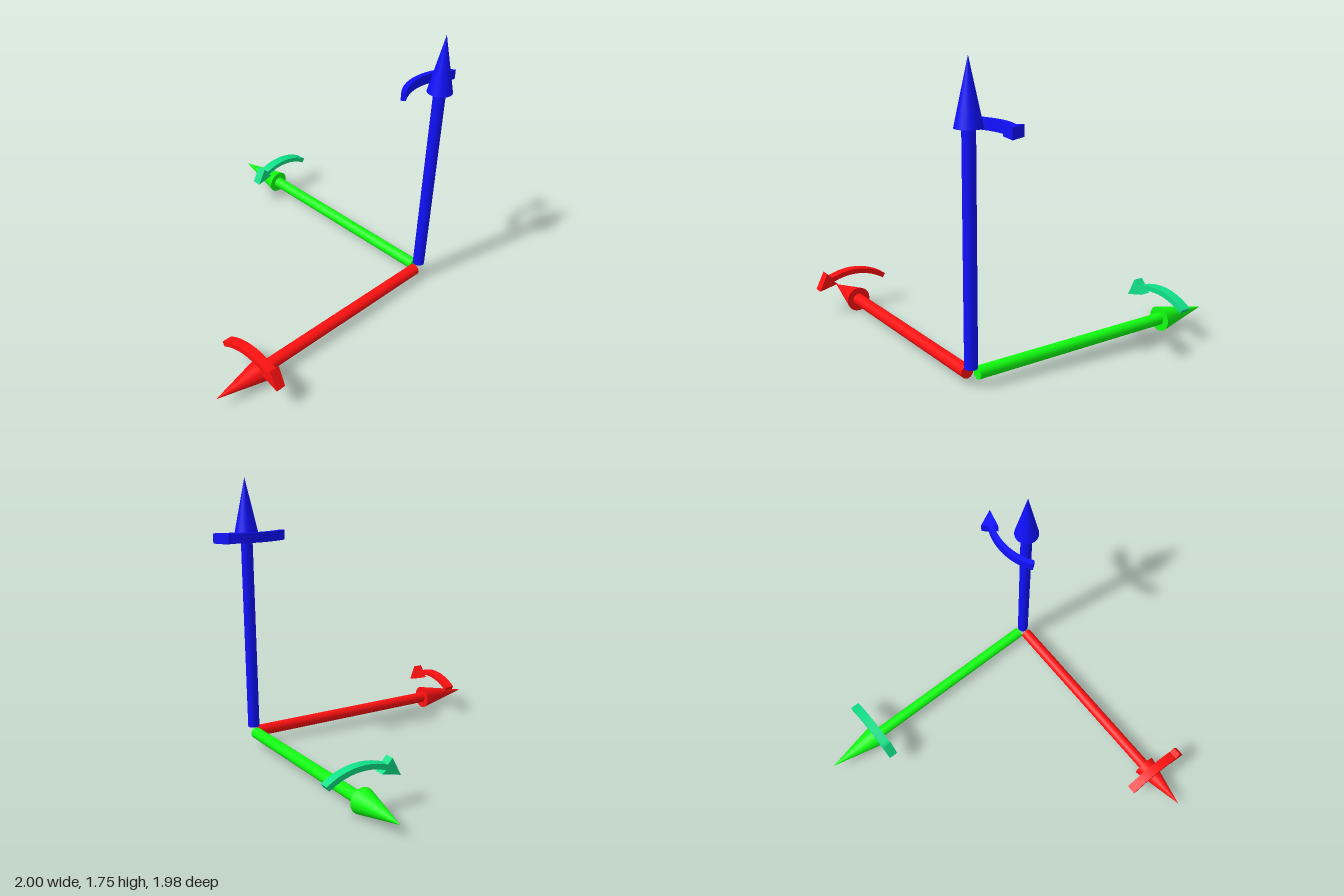
import * as THREE from 'three';
import { toCreasedNormals } from 'three/addons/utils/BufferGeometryUtils.js';

const CORNER = new THREE.Vector3(0.74, 0.077, 0.752);
const GAP = 0.038, SHAFT_R = 0.037, HEAD_R = 0.077, HEAD_LEN = 0.362;
const X = new THREE.Vector3(1, 0, 0), Y = new THREE.Vector3(0, 1, 0), Z = new THREE.Vector3(0, 0, 1);

// Straight arrow leaving the corner along dir
function axisArrow(name, dir, length, material) {
  const group = new THREE.Group();
  group.name = name;
  const shaftLen = length - GAP - HEAD_LEN;
  const shaft = new THREE.Mesh(new THREE.CylinderGeometry(SHAFT_R, SHAFT_R, shaftLen, 32), material);
  shaft.name = name + 'Shaft';
  shaft.position.y = GAP + shaftLen / 2;
  const head = new THREE.Mesh(new THREE.ConeGeometry(HEAD_R, HEAD_LEN, 32), material);
  head.name = name + 'Head';
  head.position.y = length - HEAD_LEN / 2;
  group.add(shaft, head);
  group.quaternion.setFromUnitVectors(Y, dir);
  group.position.copy(CORNER);
  return group;
}

// Flat curved arrow: u points towards its head, v out from the bend; origin at the crown
function curvedArrowGeometry() {
  const outer = 0.405, inner = 0.373, tail = Math.PI / 2 + 0.6, neck = Math.PI / 2 - 0.385;
  const shape = new THREE.Shape();
  shape.absarc(0, -outer, outer, tail, neck, true);
  shape.lineTo(0.183, 0.003);
  shape.lineTo(0.237, -0.107);
  shape.lineTo(0.115, -0.077);
  shape.absarc(0, -outer, inner, neck, tail, false);
  shape.closePath();
  const depth = 0.063;
  const geometry = new THREE.ExtrudeGeometry(shape, { depth, bevelEnabled: false, curveSegments: 20 });
  geometry.translate(0, 0, -depth / 2);
  return toCreasedNormals(geometry, 0.5);
}

function curvedArrow(name, geometry, position, u, v, material) {
  const mesh = new THREE.Mesh(geometry, material);
  mesh.name = name;
  const w = new THREE.Vector3().crossVectors(u, v);
  mesh.quaternion.setFromRotationMatrix(new THREE.Matrix4().makeBasis(u, v, w));
  mesh.position.set(...position);
  return mesh;
}

export function createModel() {
  const model = new THREE.Group();
  model.name = 'axisTripod';
  const paint = (color) => new THREE.MeshStandardMaterial({ color });
  const red = paint(0xff1010), green = paint(0x10ff10), blue = paint(0x1010ff), teal = paint(0x10e088);
  const left = X.clone().negate(), back = Z.clone().negate();

  // Three straight arrows
  model.add(
    axisArrow('redArrow', left, 1.74, red),
    axisArrow('greenArrow', back, 1.74, green),
    axisArrow('blueArrow', Y, 1.678, blue),
  );

  // Rotation arrows beside each tip
  const bend = curvedArrowGeometry();
  model.add(
    curvedArrow('redTurnArrow', bend, [-0.731, 0.266, 0.753], Z, Y, red),
    curvedArrow('greenTurnArrow', bend, [0.74, 0.284, -0.614], left, Y, teal),
    curvedArrow('blueTurnArrow', bend, [0.761, 1.391, 0.561], X, back, blue),
  );
  return model;
}
